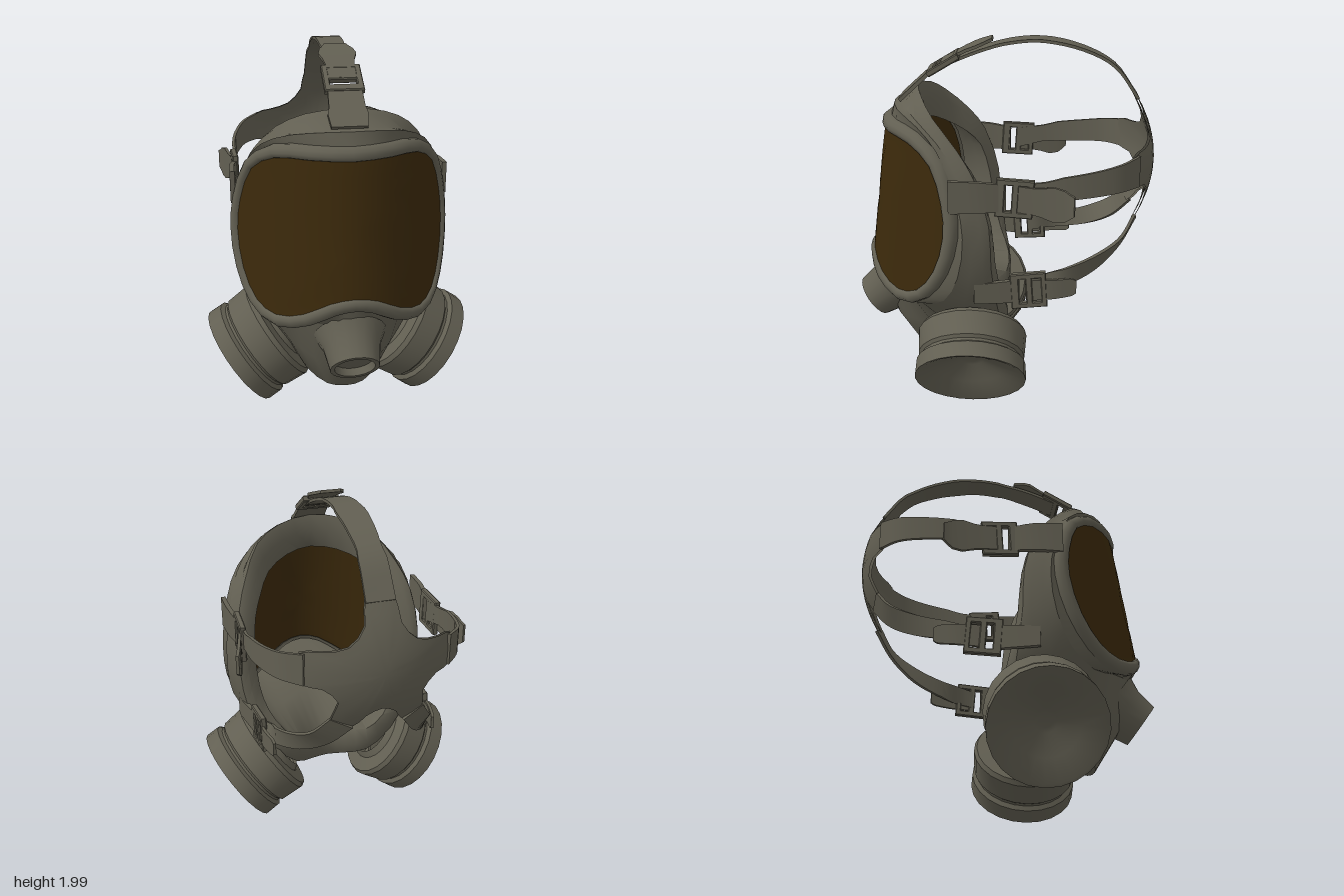
import * as THREE from 'three';
import { toCreasedNormals } from 'three/addons/utils/BufferGeometryUtils.js';

const V = (x, y, z) => new THREE.Vector3(x, y, z);
const lensZ = (x, y) => 0.64 + 0.135 * (1.53 - y) - 1.4 * x * x;
const padZ = (x, y) => -0.83 + 0.9 * x * x + 0.9 * (y - 1.35) ** 2;

// Surface through rings that all have the same number of points
function loft(rings, crease = 0.8) {
  const n = rings[0].length, pos = [], idx = [];
  rings.forEach(r => r.forEach(p => pos.push(p.x, p.y, p.z)));
  for (let i = 0; i < rings.length - 1; i++) {
    for (let j = 0; j < n; j++) {
      const a = i * n + j, b = i * n + (j + 1) % n;
      idx.push(a, a + n, b, b, a + n, b + n);
    }
  }
  const g = new THREE.BufferGeometry();
  g.setAttribute('position', new THREE.Float32BufferAttribute(pos, 3));
  g.setIndex(idx);
  return toCreasedNormals(g, crease);
}

// Half outline from top centre to bottom centre, mirrored and smoothed
function ring(half) {
  const pts = half.map(p => V(...p));
  for (let i = half.length - 2; i > 0; i--) pts.push(V(-half[i][0], half[i][1], half[i][2]));
  const curve = new THREE.CatmullRomCurve3(pts, true);
  const n = pts.length * 2;
  return Array.from({ length: n }, (_, i) => curve.getPoint(i / n));
}

// Curved sheet inside an outline: copies shrunk towards a centre height, depth from a rule
const sheet = (edge, cy, depth) => loft([1, 0.8, 0.6, 0.4, 0.2, 0].map(s => edge.map(p => {
  const x = p.x * s, y = cy + (p.y - cy) * s;
  return V(x, y, depth(x, y));
})), 2);

// Thin strap: each key is a centre point followed by a half-width vector
function strap(keys, steps = 16, thick = 0.016) {
  const mid = new THREE.CatmullRomCurve3(keys.map(k => V(k[0], k[1], k[2])));
  const wide = new THREE.CatmullRomCurve3(keys.map(k => V(k[3], k[4], k[5])));
  const rings = [];
  for (let i = 0; i <= steps; i++) {
    const t = i / steps, p = mid.getPoint(t), w = wide.getPoint(t);
    const n = mid.getTangent(t).cross(w).normalize().multiplyScalar(thick / 2);
    const r = [[1, 1], [1, -1], [-1, -1], [-1, 1]].map(([a, b]) =>
      p.clone().addScaledVector(w, a).addScaledVector(n, b));
    if (i === 0) rings.push(r.map(() => p));
    rings.push(r);
    if (i === steps) rings.push(r.map(() => p));
  }
  return loft(rings, 0.6);
}

// Rectangular buckle with two slots; x runs along the strap, y across it
function buckleGeometry(length, width) {
  const rect = (S, x0, x1, y) => {
    const s = new S();
    s.moveTo(x0, -y); s.lineTo(x1, -y); s.lineTo(x1, y); s.lineTo(x0, y); s.closePath();
    return s;
  };
  const l = length / 2, w = width / 2;
  const s = rect(THREE.Shape, -l, l, w);
  s.holes.push(rect(THREE.Path, -l + 0.035, -l + 0.08, w - 0.022));
  s.holes.push(rect(THREE.Path, -l + 0.105, l - 0.02, w - 0.022));
  const g = new THREE.ExtrudeGeometry(s, { depth: 0.022, bevelEnabled: true, bevelThickness: 0.006, bevelSize: 0.005, bevelSegments: 1 });
  return g.translate(0, 0, -0.011);
}

export function createModel() {
  const root = new THREE.Group();
  const rubber = new THREE.MeshStandardMaterial({ color: 0x625f52, side: THREE.DoubleSide });
  rubber.name = 'grey rubber';
  const amber = new THREE.MeshStandardMaterial({ color: 0x3b290b, side: THREE.DoubleSide });
  amber.name = 'dark amber';
  const add = (name, geo, mat = rubber) => {
    const m = new THREE.Mesh(geo, mat);
    m.name = name;
    root.add(m);
    return m;
  };

  // Visor: curved sheet filling the outline
  const outline = [[0, 1.53], [0.2, 1.53], [0.36, 1.515], [0.47, 1.43], [0.53, 1.25], [0.55, 1.08], [0.53, 0.88],
    [0.47, 0.74], [0.38, 0.70], [0.25, 0.745], [0.12, 0.82], [0, 0.845]];
  const edge = ring(outline.map(([x, y]) => [x, y, lensZ(x, y)]));
  add('visor', sheet(edge, 1.12, lensZ), amber);

  // Raised bead around the visor, following its curve outward
  const offset = (d, lift) => edge.map((p, i) => {
    const n = edge.length, a = edge[(i + n - 1) % n], b = edge[(i + 1) % n];
    const nx = a.y - b.y, ny = b.x - a.x;
    const out = V(nx, ny, -2.8 * p.x * nx - 0.135 * ny).normalize();
    const up = V(2.8 * p.x, 0.135, 1).normalize();
    return p.clone().addScaledVector(out, d).addScaledVector(up, lift);
  });
  const beadBack = offset(0.068, -0.03);
  add('visorFrame', loft([offset(-0.005, -0.008), offset(0.002, 0.01), offset(0.022, 0.017), offset(0.045, 0.013),
    offset(0.064, -0.005), beadBack], 1));

  // Mask shell, from the frame back to the edge of the face seal
  const band = ring([[0, 1.66, 0.58], [0.2, 1.65, 0.54], [0.36, 1.6, 0.42], [0.47, 1.5, 0.31], [0.55, 1.27, 0.21],
    [0.577, 1.08, 0.18], [0.565, 0.86, 0.21], [0.51, 0.7, 0.29], [0.4, 0.63, 0.42], [0.27, 0.66, 0.55],
    [0.13, 0.68, 0.66], [0, 0.69, 0.7]]);
  const middle = ring([[0, 1.665, 0.53], [0.2, 1.65, 0.49], [0.36, 1.585, 0.38], [0.46, 1.47, 0.26], [0.54, 1.27, 0.17],
    [0.56, 1.08, 0.14], [0.55, 0.86, 0.15], [0.49, 0.66, 0.19], [0.36, 0.51, 0.31], [0.24, 0.44, 0.47],
    [0.12, 0.42, 0.59], [0, 0.42, 0.62]]);
  const chin = ring([[0, 1.72, 0.48], [0.2, 1.7, 0.45], [0.35, 1.63, 0.36], [0.45, 1.5, 0.23], [0.52, 1.32, 0.14],
    [0.55, 1.1, 0.09], [0.54, 0.88, 0.08], [0.48, 0.66, 0.1], [0.33, 0.44, 0.19], [0.21, 0.275, 0.37],
    [0.1, 0.21, 0.46], [0, 0.2, 0.48]]);
  const rear = ring([[0, 1.745, 0.45], [0.2, 1.715, 0.41], [0.34, 1.64, 0.34], [0.44, 1.5, 0.21], [0.5, 1.36, 0.12],
    [0.53, 1.13, 0.05], [0.52, 0.9, 0.04], [0.47, 0.7, 0.02], [0.36, 0.5, 0], [0.22, 0.36, 0.03],
    [0.1, 0.3, 0.12], [0, 0.29, 0.15]]);
  add('frameBand', loft([beadBack, band]));
  add('maskShell', loft([band, middle, chin, rear], 1));

  // Face seal turning inward round the opening, and the lining from there to the visor
  const lip = ring([[0, 1.55, 0.46], [0.15, 1.53, 0.42], [0.28, 1.47, 0.34], [0.36, 1.38, 0.22], [0.41, 1.28, 0.14],
    [0.43, 1.1, 0.09], [0.42, 0.9, 0.06], [0.38, 0.75, 0.02], [0.3, 0.63, -0.03], [0.2, 0.54, -0.02],
    [0.1, 0.49, 0.1], [0, 0.47, 0.15]]);
  const roll = rear.map((p, i) => p.clone().lerp(lip[i], 0.45).add(V(0, 0, -0.03)));
  const back = offset(0.008, -0.02);
  const lining = lip.map((p, i) => p.clone().lerp(back[i], 0.45).add(V(p.x * 0.08, 0, 0)));
  add('faceSeal', loft([rear, roll, lip, lining, back], 1.2));

  // Turned part placed on an axis, profile given as [radius, distance along axis]
  const turned = (name, profile, sides, centre, axis) => {
    const g = new THREE.LatheGeometry(profile.map(p => new THREE.Vector2(...p)), sides);
    const m = add(name, toCreasedNormals(g, 0.6));
    m.position.copy(centre);
    m.quaternion.setFromUnitVectors(V(0, 1, 0), axis.normalize());
  };
  turned('exhaleValve', [[0.19, -0.2], [0.15, -0.12], [0.128, 0], [0.105, 0], [0.097, -0.04], [0, -0.04]], 20,
    V(0, 0.47, 0.75), V(0, -0.59, 0.81));

  const filter = [[0.17, -0.32], [0.2, -0.29], [0.285, -0.285], [0.3, -0.26], [0.29, -0.13],
    [0.275, -0.115], [0.275, -0.1], [0.298, -0.085], [0.3, 0], [0.285, -0.002],
    [0.17, -0.055], [0.06, -0.11], [0.035, -0.115], [0, -0.115]];

  const buckleGeo = buckleGeometry(0.18, 0.19);
  const buckle = (name, centre, along, across) => {
    const m = add(name, buckleGeo);
    const x = along.normalize(), z = x.clone().cross(across).normalize(), y = z.clone().cross(x);
    m.quaternion.setFromRotationMatrix(new THREE.Matrix4().makeBasis(x, y, z));
    m.position.copy(centre);
  };

  // Filters and side straps, mirrored
  for (const s of [1, -1]) {
    const side = s > 0 ? 'left' : 'right';
    const mir = keys => keys.map(([x, y, z, a, b, c]) => [x * s, y, z, a * s, b, c]);
    turned(side + 'Filter', filter, 24, V(0.56 * s, 0.257, 0.153), V(0.82 * s, -0.57, 0));

    add(side + 'TempleTab', strap(mir([[0.565, 1.3, 0.25, 0, 0.085, 0], [0.56, 1.3, 0.1, 0, 0.08, 0],
      [0.535, 1.29, -0.035, 0, 0.07, 0]]), 6, 0.025));
    add(side + 'TempleStrapEnd', strap(mir([[0.545, 1.29, -0.085, 0, 0.068, 0], [0.565, 1.28, -0.2, 0, 0.07, 0],
      [0.6, 1.27, -0.34, 0, 0.07, 0], [0.615, 1.275, -0.375, 0, 0.05, 0]]), 8));
    buckle(side + 'TempleBuckle', V(0.54 * s, 1.29, -0.08), V(0.03 * s, -0.06, -1), V(0, 1, 0));
    add(side + 'TempleStrap', strap(mir([[0.53, 1.3, -0.085, 0, 0.06, 0], [0.535, 1.335, -0.3, 0, 0.06, 0],
      [0.505, 1.355, -0.48, 0, 0.065, 0], [0.455, 1.37, -0.61, 0, 0.072, 0], [0.365, 1.38, -0.71, 0, 0.082, 0]]), 18));

    add(side + 'CheekTab', strap(mir([[0.52, 0.75, 0.13, 0, 0.055, 0], [0.5, 0.75, 0.02, 0, 0.06, 0],
      [0.475, 0.75, -0.105, 0, 0.065, 0]]), 6, 0.025));
    add(side + 'CheekStrapEnd', strap(mir([[0.475, 0.755, -0.155, 0, 0.06, 0], [0.475, 0.76, -0.28, 0, 0.055, 0],
      [0.455, 0.765, -0.38, 0, 0.05, 0], [0.45, 0.765, -0.405, 0, 0.035, 0]]), 8));
    buckle(side + 'CheekBuckle', V(0.475 * s, 0.755, -0.155), V(-0.06 * s, 0.07, -1), V(0, 1, 0));
    add(side + 'CheekStrap', strap(mir([[0.465, 0.76, -0.155, 0, 0.05, 0], [0.43, 0.8, -0.32, 0, 0.05, 0],
      [0.355, 0.86, -0.5, 0.02, 0.05, 0], [0.27, 0.95, -0.64, 0.045, 0.04, 0],
      [0.185, 1.07, -0.726, 0.055, 0.028, 0.01]]), 18));
  }

  // Head pad at the back, with five arms that meet the straps
  const padOutline = [[0, 1.7], [0.073, 1.7], [0.09, 1.59], [0.17, 1.5], [0.29, 1.475], [0.38, 1.462], [0.38, 1.298],
    [0.29, 1.285], [0.215, 1.21], [0.238, 1.095], [0.13, 1.04], [0.075, 1.12], [0, 1.16]];
  const padEdge = ring(padOutline.map(([x, y]) => [x, y, 0]));
  add('headPad', sheet(padEdge, 1.36, padZ));
  add('headPadInner', sheet(padEdge, 1.36, (x, y) => padZ(x, y) + 0.014));

  // Crown strap with its buckle
  add('crownTab', strap([[0, 1.672, 0.545, 0.09, 0, 0], [0, 1.75, 0.46, 0.09, 0, 0], [0, 1.825, 0.375, 0.085, 0, 0]], 6, 0.02));
  buckle('crownBuckle', V(0, 1.86, 0.31), V(0, 0.5, -0.85), V(1, 0, 0));
  add('crownStrapEnd', strap([[0, 1.865, 0.32, 0.07, 0, 0], [0, 1.93, 0.2, 0.075, 0, 0],
    [0, 1.975, 0.09, 0.075, 0, 0], [0, 1.99, 0.05, 0.055, 0, 0]], 8));
  add('crownStrap', strap([[0, 1.85, 0.32, 0.068, 0, 0], [0, 1.93, 0.12, 0.068, 0, 0], [0, 1.975, -0.05, 0.068, 0, 0],
    [0, 1.985, -0.22, 0.07, 0, 0], [0, 1.94, -0.43, 0.07, 0, 0], [0, 1.85, -0.6, 0.07, 0, 0],
    [0, 1.685, -0.725, 0.073, 0, 0]], 24));

  return root;
}
